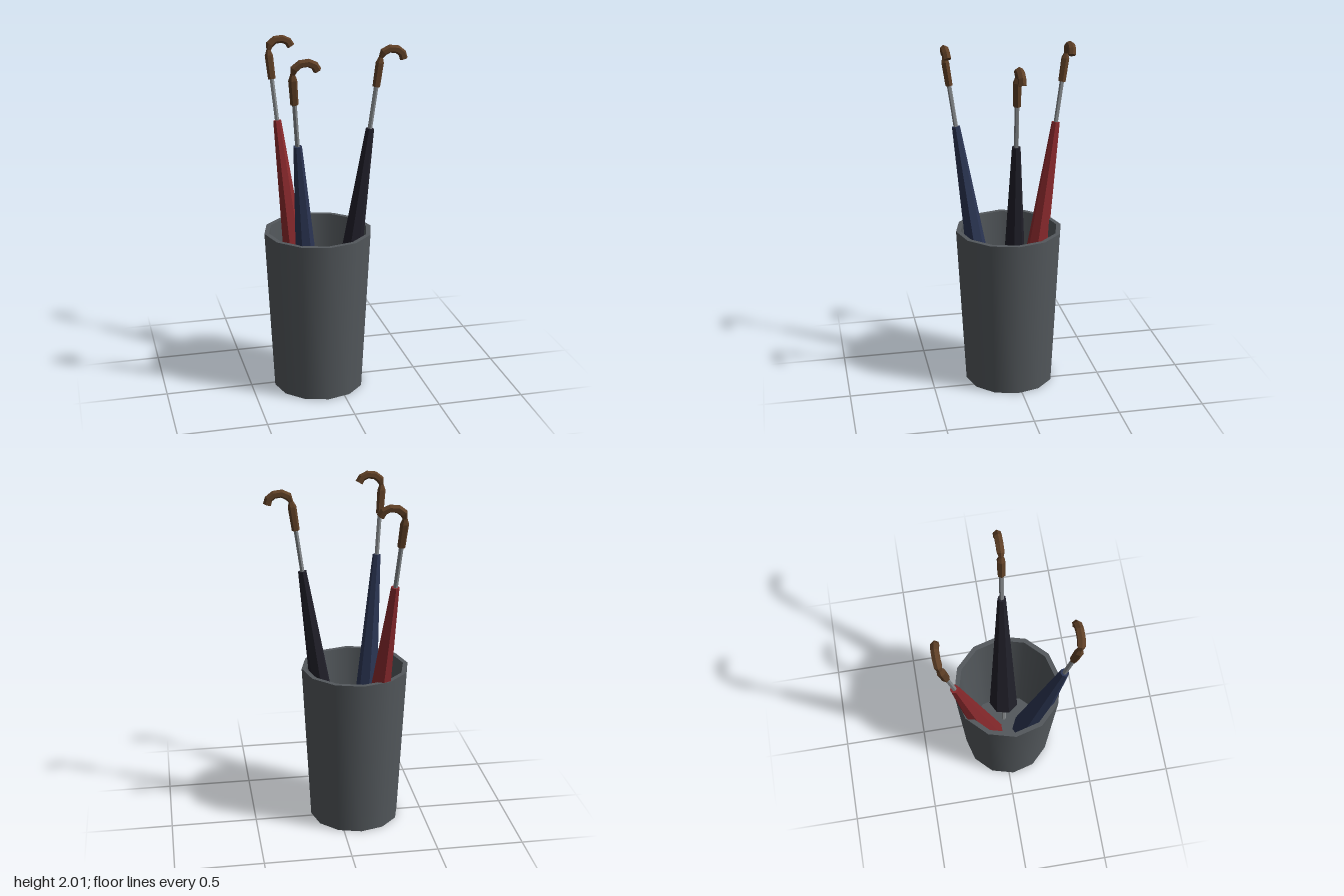
import * as THREE from 'three';
import { mergeGeometries } from 'three/addons/utils/BufferGeometryUtils.js';

const V2 = (x, y) => new THREE.Vector2(x, y);
const mat = (name, color) => {
  const m = new THREE.MeshStandardMaterial({ color });
  m.name = name;
  return m;
};
const faceted = (geo) => {
  const g = geo.index ? geo.toNonIndexed() : geo;
  g.computeVertexNormals();
  return g;
};

// Lathe with a crisp edge at every profile point, smooth around the axis
function crispLathe(profile, sides) {
  const bands = [];
  for (let i = 0; i + 1 < profile.length; i++)
    bands.push(new THREE.LatheGeometry([profile[i], profile[i + 1]], sides));
  return mergeGeometries(bands);
}

// Sweeps a polygon along a path in the xy plane; each point is [x, y, radius]
function sweep(path, sides) {
  const pos = [], idx = [], n = path.length;
  path.forEach(([x, y, r], i) => {
    const a = path[Math.max(i - 1, 0)], b = path[Math.min(i + 1, n - 1)];
    const t = V2(b[0] - a[0], b[1] - a[1]).normalize();
    for (let k = 0; k < sides; k++) {
      const ang = (k / sides) * Math.PI * 2, c = Math.cos(ang) * r;
      pos.push(x + t.y * c, y - t.x * c, -Math.sin(ang) * r);
    }
  });
  const last = (n - 1) * sides;
  for (let k = 0; k < sides; k++) {
    const k2 = (k + 1) % sides;
    for (let i = 0; i < n - 1; i++) {
      const p = i * sides, q = p + sides;
      idx.push(p + k, p + k2, q + k2, p + k, q + k2, q + k);
    }
    if (k > 0 && k < sides - 1) idx.push(0, k2, k, last, last + k, last + k2);
  }
  const g = new THREE.BufferGeometry();
  g.setAttribute('position', new THREE.Float32BufferAttribute(pos, 3));
  g.setIndex(idx);
  return faceted(g);
}

export function createModel() {
  const model = new THREE.Group();
  model.name = 'umbrellaStand';
  const grey = mat('stand grey', 0x53585c);
  const steel = mat('shaft steel', 0x85898c);
  const brown = mat('handle brown', 0x5e3f26);
  const red = mat('canopy red', 0x8a2a2d);
  const blue = mat('canopy blue', 0x2b3553);
  const black = mat('canopy black', 0x201f29);

  const add = (parent, name, geo, material, y = 0) => {
    const m = new THREE.Mesh(geo, material);
    m.name = name;
    m.position.y = y;
    parent.add(m);
    return m;
  };

  // Tapered twelve-sided bin with a thick wall and inner floor
  const bin = add(model, 'bin', crispLathe([
    V2(0, 0), V2(0.263, 0), V2(0.311, 0.95), V2(0.284, 0.95), V2(0.243, 0.04), V2(0, 0.04),
  ], 12), grey);
  bin.position.set(-0.1, 0, 0.027);

  // Parts shared by the umbrellas, along a local y axis starting at the canopy hem
  const canopyLen = 1.245;
  const canopyGeo = faceted(new THREE.CylinderGeometry(0.024, 0.089, canopyLen, 7).rotateY(Math.PI));
  const shaftGeo = faceted(new THREE.CylinderGeometry(0.013, 0.013, 1.76, 6));
  const handlePath = [[0, 1.485, 0.022], [0, 1.62, 0.024], [0.002, 1.65, 0.013]];
  for (const deg of [148, 110, 72, 38, 4]) {
    const a = THREE.MathUtils.degToRad(deg);
    handlePath.push([0.068 + 0.066 * Math.cos(a), 1.652 + 0.054 * Math.sin(a), 0.023]);
  }
  const handleGeo = sweep(handlePath, 6);

  // Three umbrellas leaning outwards: hem centre and canopy top
  const umbrellas = [
    ['redUmbrella', red, [-0.166, 0.3, -0.0915], [-0.267, 1.53, -0.288]],
    ['blueUmbrella', blue, [-0.166, 0.3, 0.139], [-0.273, 1.53, 0.302]],
    ['blackUmbrella', black, [0.027, 0.3, 0.028], [0.198, 1.53, 0.043]],
  ];
  for (const [name, material, hem, top] of umbrellas) {
    const g = new THREE.Group();
    g.name = name;
    g.position.set(...hem);
    const dir = new THREE.Vector3(...top).sub(g.position).normalize();
    g.quaternion.setFromUnitVectors(new THREE.Vector3(0, 1, 0), dir);
    add(g, 'canopy', canopyGeo, material, canopyLen / 2);
    add(g, 'shaft', shaftGeo, steel, 0.63);
    add(g, 'hookHandle', handleGeo, brown);
    model.add(g);
  }
  return model;
}
